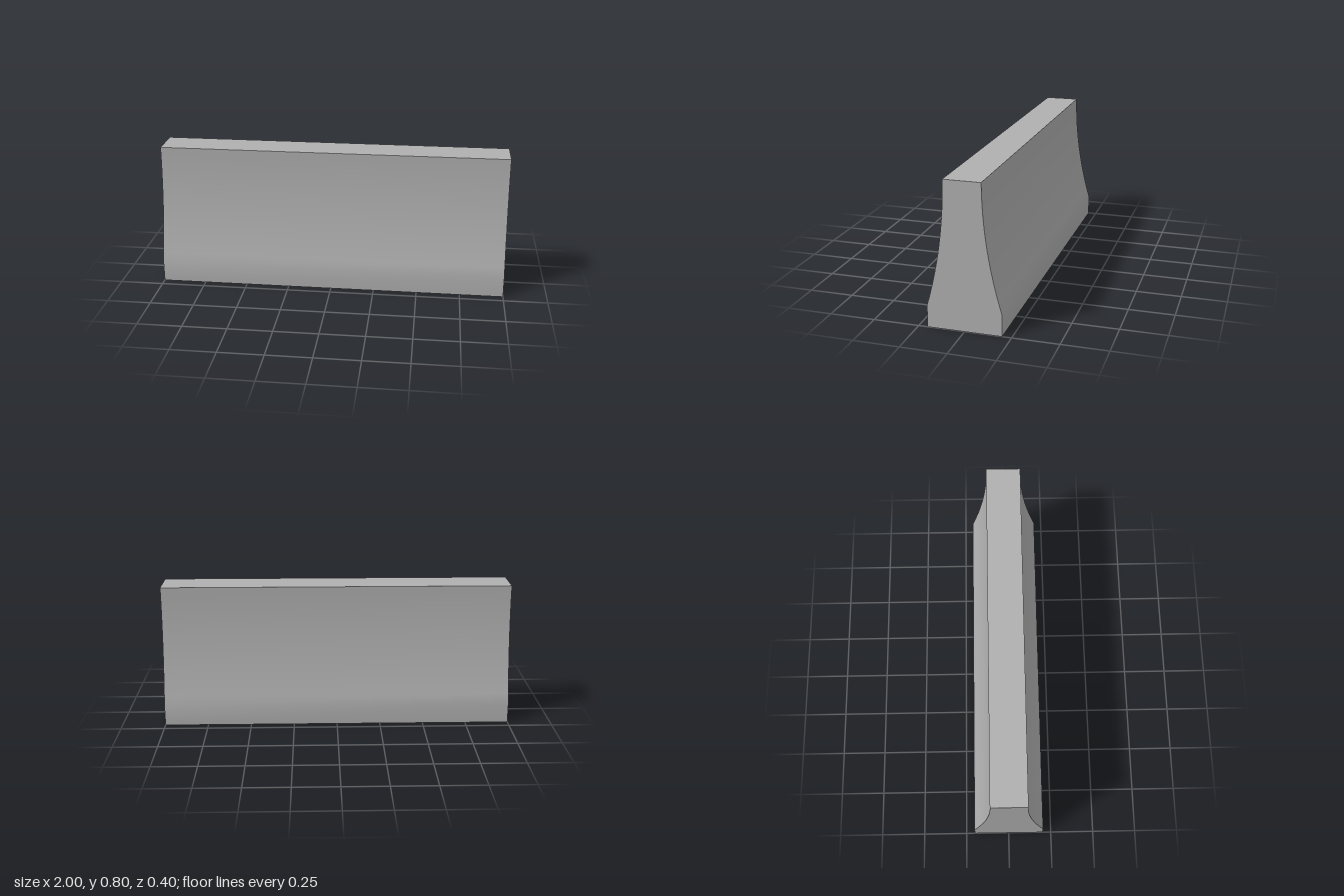
import * as THREE from 'three';
import { toCreasedNormals } from 'three/addons/utils/BufferGeometryUtils.js';

const LENGTH = 2;

export function createModel() {
  const concrete = new THREE.MeshStandardMaterial({ color: 0xb0b0b0 });
  concrete.name = 'concrete';

  // Cross-section: upright foot, then sides sweeping in to a narrow flat top
  const profile = new THREE.Shape();
  profile.moveTo(-0.2, 0);
  profile.lineTo(0.2, 0);
  profile.lineTo(0.2, 0.12);
  profile.quadraticCurveTo(0.1, 0.46, 0.1, 0.8);
  profile.lineTo(-0.1, 0.8);
  profile.quadraticCurveTo(-0.1, 0.46, -0.2, 0.12);
  profile.closePath();

  // Extrude along the length and centre it on x; the sides stay smooth, the ends and top sharp
  const geometry = new THREE.ExtrudeGeometry(profile, {
    depth: LENGTH, bevelEnabled: false, curveSegments: 12,
  });
  geometry.translate(0, 0, -LENGTH / 2);
  geometry.rotateY(Math.PI / 2);

  const barrier = new THREE.Mesh(toCreasedNormals(geometry, Math.PI / 6), concrete);
  barrier.name = 'barrierBody';

  const model = new THREE.Group();
  model.name = 'roadBarrier';
  model.add(barrier);
  return model;
}
